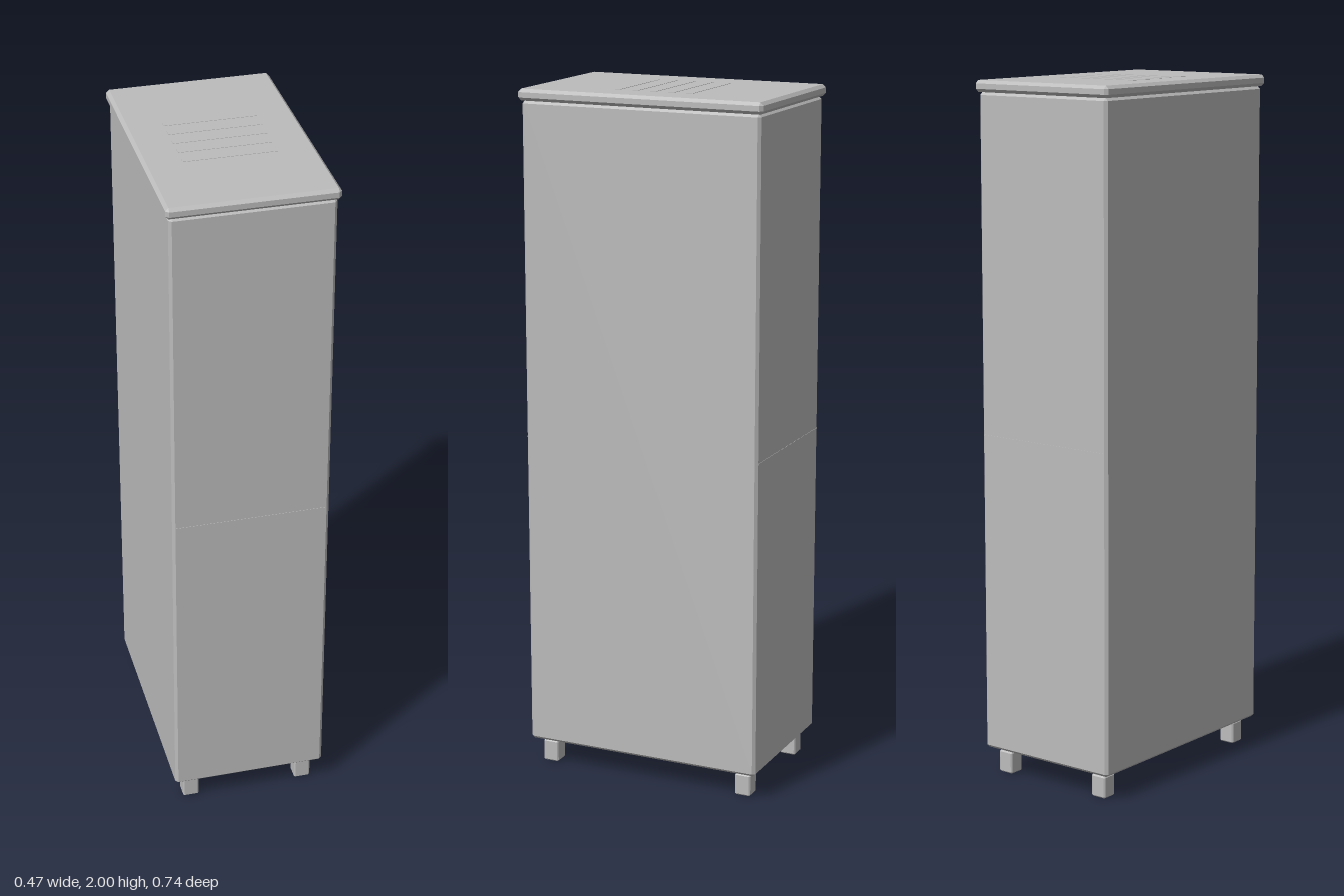
import * as THREE from 'three';
import { ConvexGeometry } from 'three/addons/geometries/ConvexGeometry.js';

// Box with flat chamfered edges, spanning y0..y1
function chamferBox(w, y0, y1, d, c) {
  const x = w / 2, y = (y1 - y0) / 2, z = d / 2;
  const points = [];
  for (const sx of [-1, 1]) for (const sy of [-1, 1]) for (const sz of [-1, 1]) {
    points.push(
      new THREE.Vector3(sx * x, sy * (y - c), sz * (z - c)),
      new THREE.Vector3(sx * (x - c), sy * y, sz * (z - c)),
      new THREE.Vector3(sx * (x - c), sy * (y - c), sz * z));
  }
  return new ConvexGeometry(points).translate(0, (y0 + y1) / 2, 0);
}

export function createModel() {
  const model = new THREE.Group();
  model.name = 'cabinet';
  const grey = new THREE.MeshStandardMaterial({ color: 0xbcbcbc });
  grey.name = 'grey';

  function add(name, geometry, x = 0, y = 0, z = 0) {
    const mesh = new THREE.Mesh(geometry, grey);
    mesh.name = name;
    mesh.position.set(x, y, z);
    model.add(mesh);
  }

  // Tall body and overhanging lid
  add('body', chamferBox(0.45, 0.075, 1.966, 0.72, 0.008));
  add('lid', chamferBox(0.468, 1.966, 1.999, 0.738, 0.009));

  // Four small feet
  const foot = chamferBox(0.048, 0, 0.065, 0.048, 0.004);
  for (const x of [-0.172, 0.172]) for (const z of [-0.31, 0.31]) add('foot', foot, x, 0, z);

  // Thin seam across the front and back panels
  const seam = new THREE.BoxGeometry(0.434, 0.004, 0.002);
  for (const z of [-0.36, 0.36]) add('panelSeam', seam, 0, 1, z);

  // Row of vent strips on the lid
  const vent = new THREE.BoxGeometry(0.26, 0.002, 0.02);
  for (let i = -2; i <= 2; i++) add('vent', vent, 0, 1.999, i * 0.055);

  return model;
}
